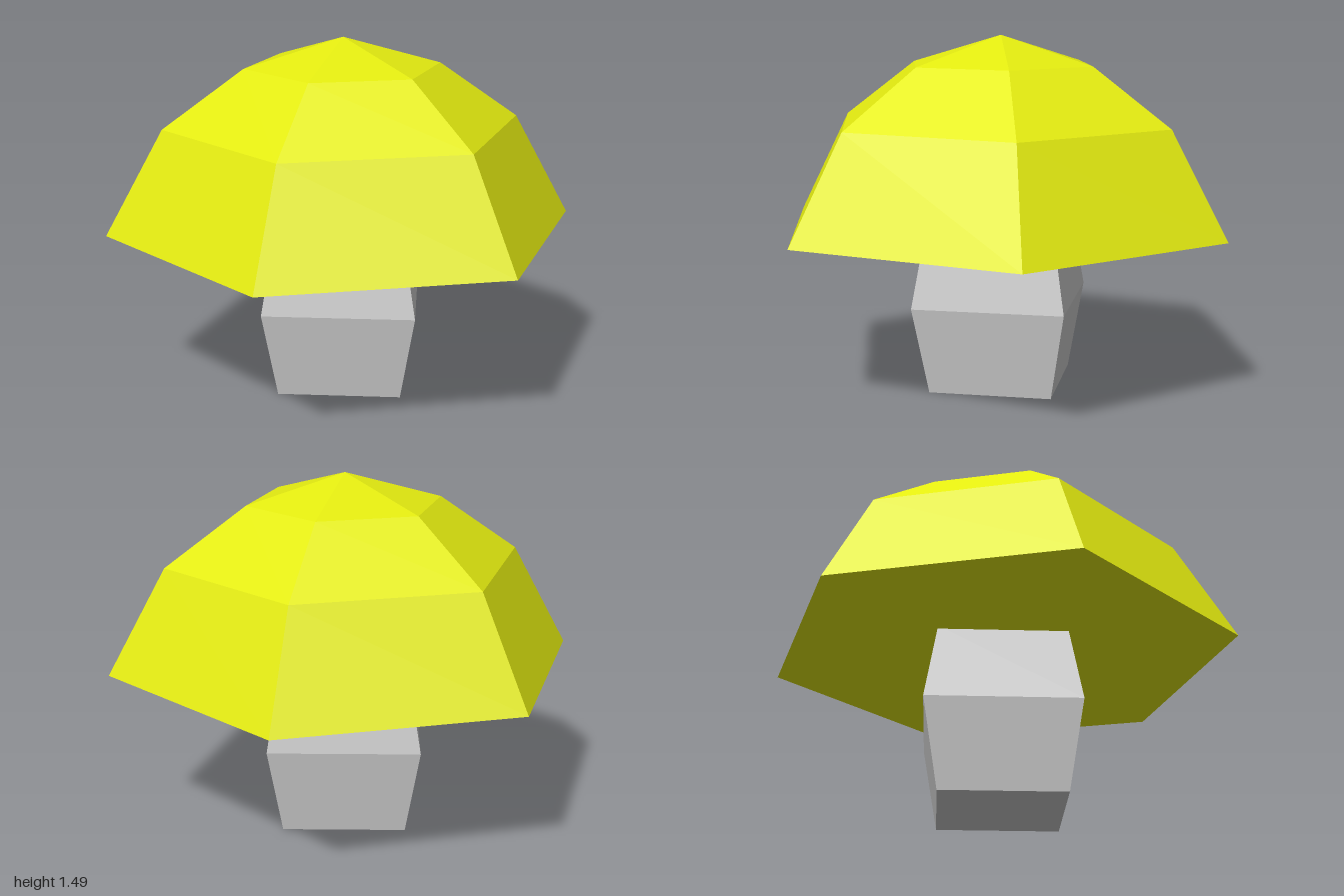
import * as THREE from 'three';

// Faceted solid turned around y; profile is [radius, height] from bottom to top
function facetedTurn(name, profile, sides, color) {
  const points = profile.map(([r, y]) => new THREE.Vector2(r, y));
  const material = new THREE.MeshStandardMaterial({ color, flatShading: true });
  const mesh = new THREE.Mesh(new THREE.LatheGeometry(points, sides), material);
  mesh.name = name;
  return mesh;
}

export function createModel() {
  const model = new THREE.Group();
  model.name = 'mushroom';

  // Four-sided bulging stem, its top tucked just inside the cap
  model.add(facetedTurn('stem', [[0, 0], [0.365, 0], [0.45, 0.37], [0.375, 0.7], [0, 0.7]], 4, 0xcccccc));

  // Six-sided domed cap with a flat underside
  model.add(facetedTurn('cap', [[0, 0.685], [1, 0.685], [0.755, 1.125], [0.415, 1.365], [0, 1.485]], 6, 0xe3eb10));

  return model;
}
